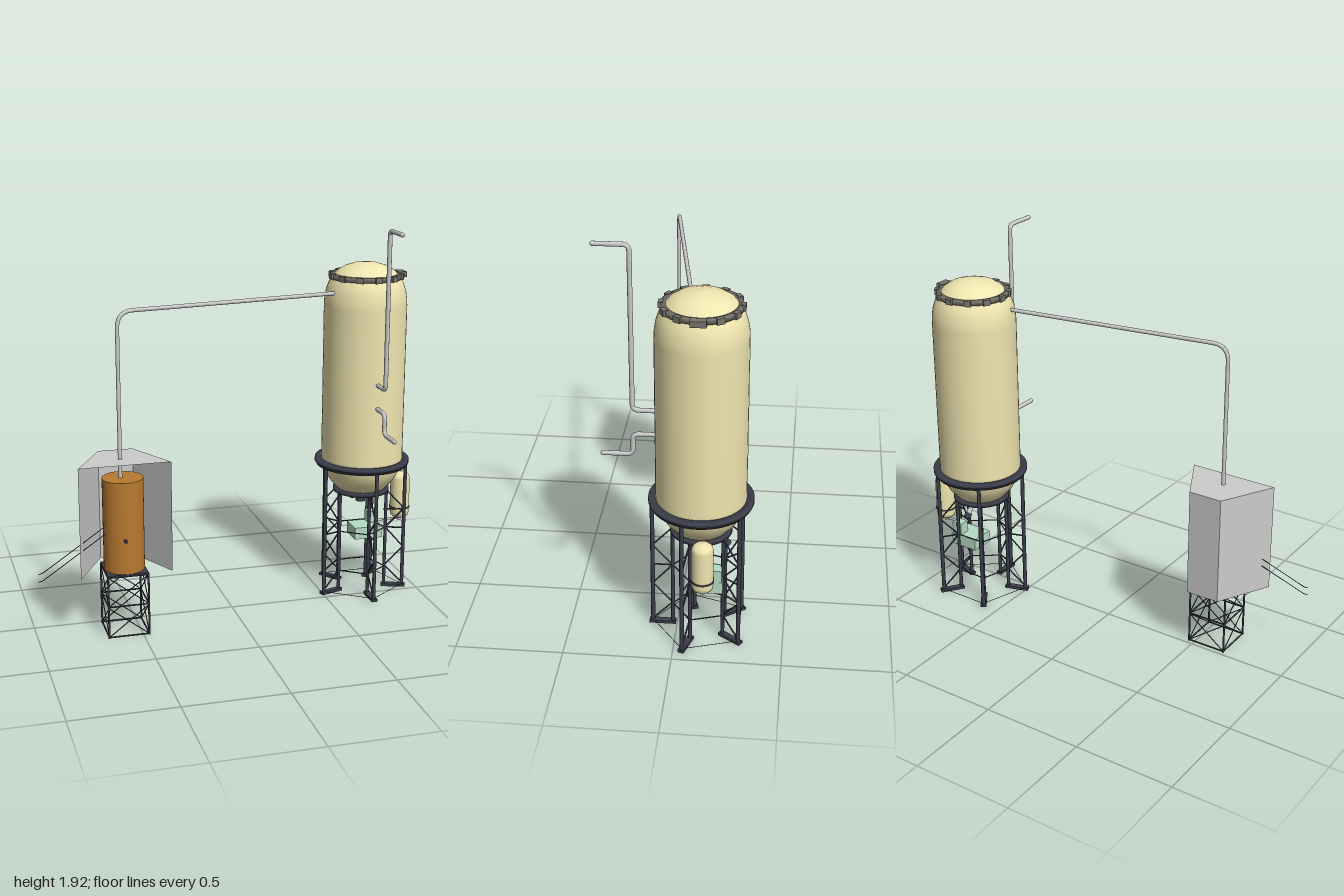
import * as THREE from 'three';

const mat = (color, side = THREE.FrontSide) => new THREE.MeshStandardMaterial({ color, side });
const cream = mat(0xf0e6b0), steel = mat(0x3c3f4c), grey = mat(0xcccccc);
const sheet = mat(0xcccccc, THREE.DoubleSide), brown = mat(0xb87a30), green = mat(0xb5dcc4);
const lugGrey = mat(0x77746c);
const V = (x, y, z) => new THREE.Vector3(x, y, z);

function add(parent, name, geo, material, x = 0, y = 0, z = 0) {
  const m = new THREE.Mesh(geo, material);
  m.name = name;
  m.position.set(x, y, z);
  parent.add(m);
  return m;
}

// Round bar between two points
function bar(parent, name, a, b, r, material = steel, sides = 8) {
  const m = add(parent, name, new THREE.CylinderGeometry(r, r, a.distanceTo(b), sides), material);
  m.position.copy(a).lerp(b, 0.5);
  m.quaternion.setFromUnitVectors(V(0, 1, 0), b.clone().sub(a).normalize());
  return m;
}

// Pipe along straight runs with rounded elbows
function pipe(parent, name, pts, r, bend) {
  const path = new THREE.CurvePath();
  let last = pts[0];
  for (let i = 1; i < pts.length - 1; i++) {
    const p = pts[i];
    const inn = p.clone().add(pts[i - 1].clone().sub(p).setLength(bend));
    const out = p.clone().add(pts[i + 1].clone().sub(p).setLength(bend));
    path.add(new THREE.LineCurve3(last, inn));
    path.add(new THREE.QuadraticBezierCurve3(inn, p, out));
    last = out;
  }
  path.add(new THREE.LineCurve3(last, pts[pts.length - 1]));
  const geo = new THREE.TubeGeometry(path, 160, r, 10);
  add(parent, name, geo, grey);
  for (const p of [pts[0], pts[pts.length - 1]])
    add(parent, name + 'End', new THREE.SphereGeometry(r, 10, 6), grey, p.x, p.y, p.z);
}

const lathe = (pts, n = 48) =>
  new THREE.LatheGeometry(pts.map(([r, y]) => new THREE.Vector2(r, y)), n);

function buildSilo() {
  const g = new THREE.Group();
  g.name = 'silo';
  g.position.set(0.72, 0, -0.112);

  // Vessel with rounded bottom and shoulder, and a domed lid
  add(g, 'vessel', lathe([[0, 0.51], [0.07, 0.52], [0.125, 0.55], [0.165, 0.595], [0.193, 0.645],
    [0.206, 0.7], [0.207, 0.72], [0.207, 1.5], [0.205, 1.535], [0.198, 1.575], [0.186, 1.61], [0.168, 1.64]]), cream);
  add(g, 'lid', lathe([[0.168, 1.64], [0.145, 1.667], [0.11, 1.69], [0.06, 1.706], [0, 1.712]]), cream);

  // Lid clamp ring with lugs
  add(g, 'clampRing', lathe([[0.155, 1.634], [0.178, 1.634], [0.178, 1.657], [0.155, 1.657], [0.155, 1.634]]), lugGrey);
  for (let i = 0; i < 12; i++) {
    const a = i * Math.PI / 6, big = i === 0, r = big ? 0.182 : 0.176;
    const lug = add(g, 'clampLug', new THREE.BoxGeometry(big ? 0.04 : 0.022, 0.028, big ? 0.07 : 0.035),
      lugGrey, r * Math.cos(a), 1.646, r * Math.sin(a));
    lug.rotation.y = -a;
  }

  // Carrying rings
  add(g, 'upperRing', lathe([[0.2, 0.675], [0.232, 0.675], [0.232, 0.688], [0.24, 0.688],
    [0.24, 0.706], [0.2, 0.706], [0.2, 0.675]]), steel);
  add(g, 'lowerRing', lathe([[0.115, 0.53], [0.143, 0.53], [0.143, 0.548], [0.115, 0.548], [0.115, 0.53]]), steel);

  // Five pairs of legs with radial lattice
  const at = (i, r, y) => {
    const a = Math.PI / 2 + i * Math.PI * 2 / 5;
    return V(r * Math.cos(a), y, r * Math.sin(a));
  };
  const ro = 0.226, ri = 0.132, levels = [0.02, 0.115, 0.22, 0.325, 0.43, 0.53];
  for (let i = 0; i < 5; i++) {
    bar(g, 'outerLeg', at(i, ro, 0), at(i, ro, 0.68), 0.01);
    bar(g, 'innerLeg', at(i, ri, 0), at(i, ri, 0.535), 0.009);
    const p = at(i, 0.18, 0.007);
    const foot = add(g, 'foot', new THREE.BoxGeometry(0.125, 0.014, 0.03), steel, p.x, p.y, p.z);
    foot.rotation.y = -(Math.PI / 2 + i * Math.PI * 2 / 5);
    for (let k = 0; k < levels.length - 1; k++) {
      const [a, b] = k % 2 ? [ri, ro] : [ro, ri];
      bar(g, 'legBrace', at(i, a, levels[k]), at(i, b, levels[k + 1]), 0.004, steel, 6);
    }
    bar(g, 'legTie', at(i, ri, 0.325), at(i, ro, 0.325), 0.004, steel, 6);
    for (const y of [0.11, 0.325])
      bar(g, 'innerTie', at(i, ri, y), at(i + 1, ri, y), 0.003, steel, 6);
    bar(g, 'groundTie', at(i, ro, 0.012), at(i + 1, ro, 0.012), 0.0015, steel, 5);
  }

  // Outlet nozzle and slanted feeder
  bar(g, 'outletNozzle', V(0, 0.52, 0), V(0, 0.47, 0), 0.025, steel, 16);
  bar(g, 'feederTube', V(0, 0.54, -0.06), V(0, 0.455, -0.125), 0.012, grey, 12);
  bar(g, 'feederCollar', V(0, 0.475, -0.11), V(0, 0.455, -0.125), 0.018, steel, 12);

  // Pump unit under the vessel
  add(g, 'pumpBase', new THREE.BoxGeometry(0.15, 0.062, 0.124), green, 0.045, 0.292, -0.046);
  add(g, 'pumpMotor', new THREE.BoxGeometry(0.055, 0.062, 0.055), green, 0.092, 0.352, -0.076);
  bar(g, 'pumpPipe', V(0.09, 0.345, -0.02), V(0.225, 0.345, -0.028), 0.006, grey);

  // Small side vessel
  const side = new THREE.Group();
  side.name = 'sideVessel';
  side.position.set(0.227, 0, -0.025);
  g.add(side);
  add(side, 'sideShell', lathe([[0, 0.35], [0.03, 0.354], [0.045, 0.366], [0.05, 0.385], [0.05, 0.565],
    [0.045, 0.584], [0.03, 0.596], [0, 0.6]], 32), cream);
  add(side, 'sideBand', new THREE.CylinderGeometry(0.053, 0.053, 0.008, 32), steel, 0, 0.41, 0);
  bar(side, 'sideBracket', V(-0.1, 0.41, 0.03), V(0, 0.41, 0.04), 0.004);
  bar(side, 'sideDrain', V(0, 0.36, 0), V(0, 0.335, 0), 0.01, grey);
  return g;
}

function buildShed() {
  const g = new THREE.Group();
  g.name = 'shed';
  g.position.set(-0.57, 0, 0.12);

  // Tapered enclosure: roof and three walls, open in front
  const plan = [[-0.228, 0.104], [-0.087, -0.16], [0.082, -0.16], [0.215, 0.104]];
  const roof = new THREE.ShapeGeometry(new THREE.Shape(plan.map(([x, z]) => new THREE.Vector2(x, -z))));
  roof.rotateX(-Math.PI / 2);
  add(g, 'enclosureRoof', roof, sheet, 0, 0.865, 0);
  for (let i = 0; i < 3; i++) {
    const [x0, z0] = plan[i], [x1, z1] = plan[i + 1];
    const wall = add(g, 'enclosureWall', new THREE.PlaneGeometry(Math.hypot(x1 - x0, z1 - z0), 0.547),
      sheet, (x0 + x1) / 2, 0.5915, (z0 + z1) / 2);
    wall.rotation.y = -Math.atan2(z1 - z0, x1 - x0);
  }

  // Drum with tap
  add(g, 'drum', new THREE.CylinderGeometry(0.099, 0.099, 0.455, 40), brown, 0, 0.5475, 0);
  bar(g, 'tap', V(-0.01, 0.49, 0.09), V(-0.01, 0.49, 0.117), 0.008, steel, 10);

  // Lattice stand
  add(g, 'standTop', new THREE.BoxGeometry(0.2, 0.008, 0.2), steel, 0, 0.316, 0);
  const c = [[-1, -1], [1, -1], [1, 1], [-1, 1]].map(([x, z]) => [x * 0.098, z * 0.098]);
  const P = (i, y) => V(c[i % 4][0], y, c[i % 4][1]);
  for (let i = 0; i < 4; i++) {
    bar(g, 'standLeg', P(i, 0), P(i, 0.315), 0.005);
    for (const y of [0.005, 0.16, 0.31]) bar(g, 'standTie', P(i, y), P(i + 1, y), 0.004, steel, 6);
    for (const y of [0.005, 0.16]) {
      bar(g, 'standBrace', P(i, y), P(i + 1, y + 0.15), 0.0025, steel, 6);
      bar(g, 'standBrace', P(i + 1, y), P(i, y + 0.15), 0.0025, steel, 6);
    }
  }
  return g;
}

export function createModel() {
  const model = new THREE.Group();
  model.name = 'siloPlant';
  model.add(buildSilo(), buildShed());

  // Transfer pipe from the silo to the drum
  pipe(model, 'transferPipe', [V(0.55, 1.573, -0.058), V(-0.58, 1.573, 0.118), V(-0.58, 0.77, 0.118)], 0.01, 0.08);
  // Front vent and filling pipes
  pipe(model, 'ventPipe', [V(0.72, 1.907, 0.348), V(0.72, 1.907, 0.194), V(0.72, 1.13, 0.194), V(0.72, 1.13, 0.08)], 0.011, 0.03);
  pipe(model, 'fillPipe', [V(0.72, 0.908, 0.33), V(0.72, 0.908, 0.194), V(0.72, 1.01, 0.194), V(0.72, 1.01, 0.08)], 0.011, 0.03);

  // Pair of thin cables leaving the enclosure
  for (const d of [0, -0.038]) {
    bar(model, 'cable', V(-0.67, 0.545 + d, 0.155), V(-0.98, 0.374 + d, 0.235), 0.002, steel, 5);
    bar(model, 'cable', V(-0.98, 0.374 + d, 0.235), V(-1, 0.372 + d, 0.24), 0.002, steel, 5);
  }
  return model;
}
